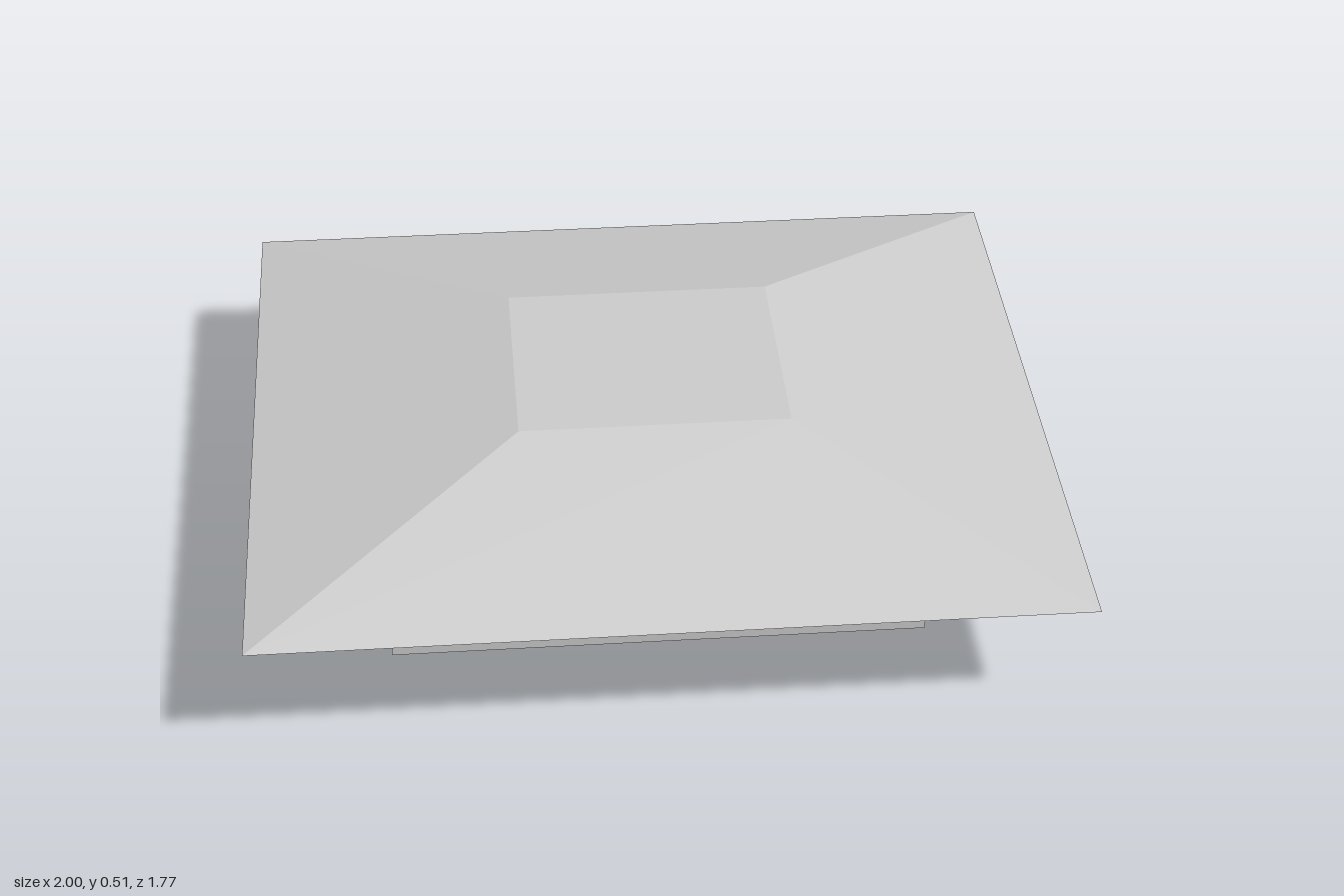
import * as THREE from 'three';

const grey = new THREE.MeshStandardMaterial({ color: 0xcccccc });
grey.name = 'plainGrey';

function part(name, geometry, x = 0, y = 0, z = 0) {
  const mesh = new THREE.Mesh(geometry, grey);
  mesh.name = name;
  mesh.position.set(x, y, z);
  return mesh;
}

function rectPath(path, x0, y0, x1, y1) {
  path.moveTo(x0, y0);
  path.lineTo(x1, y0);
  path.lineTo(x1, y1);
  path.lineTo(x0, y1);
  path.closePath();
  return path;
}

// Framed opening facing local +z, centred on x, with a row of equal panes
function framedPanes(name, { width, height, count, border, gap, depth }) {
  const group = new THREE.Group();
  group.name = name;
  const shape = rectPath(new THREE.Shape(), -width / 2, 0, width / 2, height);
  const paneWidth = (width - 2 * border - gap * (count - 1)) / count;
  for (let i = 0; i < count; i++) {
    const x = -width / 2 + border + i * (paneWidth + gap);
    shape.holes.push(rectPath(new THREE.Path(), x, border / 2, x + paneWidth, height - border / 2));
  }
  group.add(part('frame', new THREE.ExtrudeGeometry(shape, { depth, bevelEnabled: false })));
  group.add(part('glass', new THREE.BoxGeometry(width - border, height - border / 2, 0.002), 0, height / 2, 0.002));
  return group;
}

export function createModel() {
  const house = new THREE.Group();
  house.name = 'house';

  // Hipped roof with a flat top, shaped from a box
  const roofGeometry = new THREE.BoxGeometry(2, 0.17, 1.77);
  const p = roofGeometry.attributes.position;
  for (let i = 0; i < p.count; i++) {
    if (p.getY(i) > 0) p.setXYZ(i, p.getX(i) * 0.335, p.getY(i), p.getZ(i) / 3);
  }
  roofGeometry.computeVertexNormals();
  house.add(part('roof', roofGeometry, 0, 0.425, 0));

  // L-shaped walls: plan drawn as (x, -z), extruded upwards
  const plan = new THREE.Shape([
    [-0.67, -0.51], [0.66, -0.51], [0.66, 0.245], [-0.2, 0.245], [-0.2, 0.605], [-0.67, 0.605],
  ].map(([x, y]) => new THREE.Vector2(x, y)));
  const walls = new THREE.ExtrudeGeometry(plan, { depth: 0.34, bevelEnabled: false });
  walls.rotateX(-Math.PI / 2);
  house.add(part('walls', walls));

  // Porch floor and corner column
  house.add(part('porchFloor', new THREE.BoxGeometry(0.87, 0.016, 0.36), 0.235, 0.008, -0.425));
  house.add(part('porchColumn', new THREE.CylinderGeometry(0.03, 0.03, 0.324, 32), 0.628, 0.178, -0.567));

  // Four-pane sliding door on the left wall
  const door = framedPanes('slidingDoor', { width: 0.64, height: 0.295, count: 4, border: 0.03, gap: 0.005, depth: 0.01 });
  door.rotation.y = Math.PI / 2;
  door.position.set(0.66, 0.01, 0.135);
  house.add(door);

  // Back windows, each with a sill
  for (const [name, x, y, z, width, height, sillDepth] of [
    ['wingWindow', -0.42, 0.147, -0.605, 0.37, 0.163, 0.006],
    ['porchWindow', 0.23, 0.147, -0.245, 0.4, 0.11, 0.014],
  ]) {
    const win = framedPanes(name, { width, height, count: 1, border: 0.012, gap: 0, depth: 0.005 });
    win.add(part('sill', new THREE.BoxGeometry(width + 0.01, 0.008, sillDepth), 0, -0.004, sillDepth / 2));
    win.rotation.y = Math.PI;
    win.position.set(x, y, z);
    house.add(win);
  }

  // Potted tree in the porch corner
  const tree = new THREE.Group();
  tree.name = 'pottedTree';
  const potProfile = [[0, 0], [0.024, 0], [0.036, 0.009], [0.045, 0.024], [0.05, 0.046], [0, 0.046]];
  tree.add(part('pot', new THREE.LatheGeometry(potProfile.map(([x, y]) => new THREE.Vector2(x, y)), 24)));
  for (const [bottom, height, lower, upper] of [
    [0.046, 0.077, 0.072, 0.025], [0.123, 0.07, 0.05, 0.018], [0.193, 0.065, 0.033, 0],
  ]) {
    tree.add(part('foliageTier', new THREE.CylinderGeometry(upper, lower, height, 24), 0, bottom + height / 2, 0));
  }
  tree.position.set(-0.11, 0.016, -0.345);
  house.add(tree);

  return house;
}
